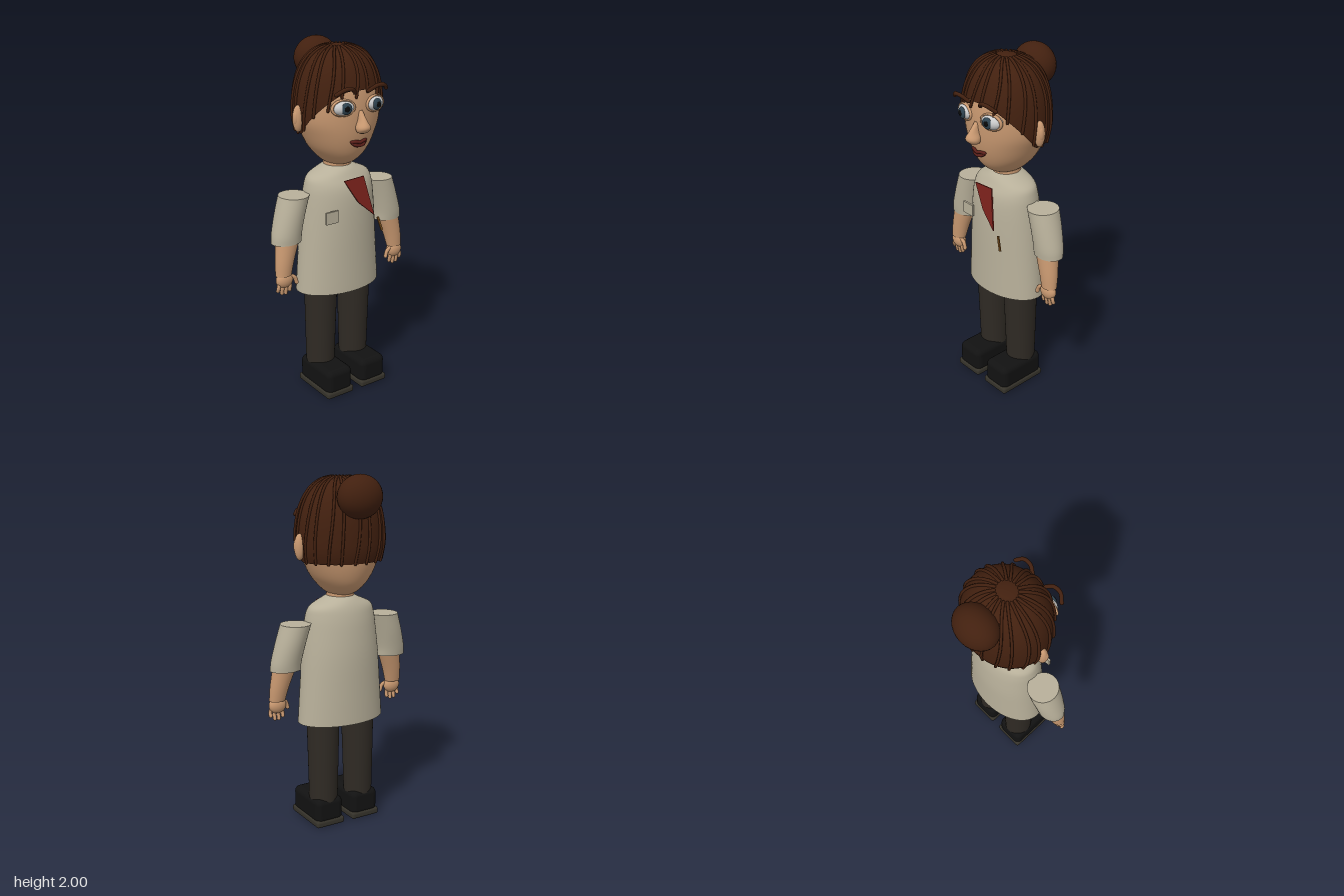
import * as THREE from 'three';
import { RoundedBoxGeometry } from 'three/addons/geometries/RoundedBoxGeometry.js';
import { ParametricGeometry } from 'three/addons/geometries/ParametricGeometry.js';

const mat = (color) => new THREE.MeshStandardMaterial({ color });
const SKIN = mat(0xc89870), HAIR = mat(0x42200f), SHIRT = mat(0xb8b09a), PANTS = mat(0x2f2a24);
const SHOE = mat(0x121212), SOLE = mat(0x35322a), RED = mat(0x7a211b), LIP = mat(0x5c201a);
const WHITE = mat(0xdcdcdc), IRIS = mat(0x2f4350), PUPIL = mat(0x080808), WOOD = mat(0x7a5020);
HAIR.side = THREE.DoubleSide;

function add(parent, name, geometry, material, x = 0, y = 0, z = 0) {
  const m = new THREE.Mesh(geometry, material);
  m.name = name;
  m.position.set(x, y, z);
  parent.add(m);
  return m;
}

function ball(parent, name, material, p, r) {
  const m = add(parent, name, new THREE.SphereGeometry(1, 28, 18), material, ...p);
  m.scale.set(...r);
  return m;
}

const vecs = (pts) => pts.map((p) => new THREE.Vector3(...p));
function tube(parent, name, material, pts, r, seg = 16) {
  const curve = new THREE.CatmullRomCurve3(vecs(pts));
  const m = add(parent, name, new THREE.TubeGeometry(curve, seg, r, 7), material);
  for (const e of [pts[0], pts[pts.length - 1]]) {
    add(parent, name + 'End', new THREE.SphereGeometry(r, 7, 5), material, ...e);
  }
  return m;
}

// Smooth closed skin through elliptical sections [x, y, z, rx, rz], listed bottom to top.
function loft(sections, n = 36, steps = 4) {
  const mid = new THREE.CatmullRomCurve3(vecs(sections.map((s) => s.slice(0, 3))), false, 'catmullrom');
  const rad = new THREE.CatmullRomCurve3(vecs(sections.map((s) => [s[3], s[4], 0])), false, 'catmullrom');
  const rows = (sections.length - 1) * steps, pos = [], idx = [];
  const ring = (t) => {
    const c = mid.getPoint(t), r = rad.getPoint(t);
    for (let j = 0; j < n; j++) {
      const a = (j / n) * Math.PI * 2;
      pos.push(c.x + r.x * Math.sin(a), c.y, c.z + r.y * Math.cos(a));
    }
    return c;
  };
  for (let i = 0; i <= rows; i++) ring(i / rows);
  for (let i = 0; i < rows; i++) for (let j = 0; j < n; j++) {
    const a = i * n + j, b = i * n + (j + 1) % n;
    idx.push(a, b, b + n, a, b + n, a + n);
  }
  for (const t of [0, 1]) {
    const start = pos.length / 3, c = ring(t);
    pos.push(c.x, c.y, c.z);
    for (let j = 0; j < n; j++) {
      const a = start + j, b = start + (j + 1) % n;
      idx.push(start + n, t ? a : b, t ? b : a);
    }
  }
  const g = new THREE.BufferGeometry();
  g.setAttribute('position', new THREE.Float32BufferAttribute(pos, 3));
  g.setIndex(idx);
  g.computeVertexNormals();
  return g;
}

// Hair shell: a domed crown ending at a hairline that drops from fringe to nape.
const TOP = 1.98;
const hairline = (a) => 1.53 + 0.24 * THREE.MathUtils.clamp((0.22 * Math.cos(a) - 0.01) / 0.2, 0, 1);
function hairPoint(a, y, grow = 0) {
  const s = Math.max(0, (y - 1.62) / 0.36);
  const r = y > 1.62 ? Math.pow(Math.max(0, 1 - Math.pow(s, 2.5)), 0.4) : 1 - 0.07 * ((1.62 - y) / 0.09) ** 2;
  return [(0.25 * r + grow) * Math.sin(a), y, 0.01 + (0.222 * r + grow) * Math.cos(a)];
}

function buildHair() {
  const hair = new THREE.Group();
  hair.name = 'hair';
  add(hair, 'hairCap', new ParametricGeometry((u, v, out) => {
    const a = u * Math.PI * 2;
    out.set(...hairPoint(a, TOP - (TOP - hairline(a)) * Math.pow(v, 2.2)));
  }, 72, 28), HAIR);
  ball(hair, 'crown', HAIR, [0, 1.968, 0.015], [0.058, 0.016, 0.058]);
  ball(hair, 'bun', HAIR, [0, 1.883, -0.19], [0.128, 0.117, 0.102]);
  const count = 20;
  for (let i = 0; i < count; i++) {
    const base = ((i + 0.5) / count) * Math.PI * 2, pts = [];
    const end = hairline(base) - (Math.cos(base) > 0.6 ? 0.012 + 0.02 * (i % 2) : 0);
    for (let k = 0; k <= 8; k++) {
      const t = k / 8;
      pts.push(hairPoint(base + 0.14 * Math.sin(t * 3) * (i % 2 ? 1 : 0.5), 1.976 - (1.976 - end) * Math.pow(t, 1.8), 0.003));
    }
    tube(hair, 'strand', HAIR, pts, 0.008, 24);
  }
  return hair;
}

function buildHead() {
  const head = new THREE.Group();
  head.name = 'head';
  add(head, 'skull', loft([
    [0, 1.337, 0.01, 0.05, 0.06], [0, 1.36, 0.01, 0.088, 0.11], [0, 1.4, 0.01, 0.128, 0.155],
    [0, 1.45, 0.01, 0.168, 0.182], [0, 1.52, 0.01, 0.203, 0.202], [0, 1.6, 0.01, 0.232, 0.211],
    [0, 1.7, 0.01, 0.235, 0.211], [0, 1.8, 0.01, 0.215, 0.193], [0, 1.9, 0.01, 0.155, 0.14],
    [0, 1.965, 0.01, 0.02, 0.02]], 48), SKIN);
  add(head, 'nose', loft([
    [0, 1.545, 0.235, 0.012, 0.012], [0, 1.556, 0.238, 0.034, 0.03], [0, 1.58, 0.243, 0.039, 0.042],
    [0, 1.615, 0.232, 0.022, 0.034], [0, 1.665, 0.213, 0.012, 0.012]], 20), SKIN);
  tube(head, 'upperLip', LIP, [[-0.046, 1.497, 0.204], [-0.02, 1.499, 0.216], [0, 1.494, 0.22],
    [0.02, 1.499, 0.216], [0.046, 1.497, 0.204]], 0.009);
  tube(head, 'lowerLip', LIP, [[-0.04, 1.49, 0.204], [-0.02, 1.478, 0.213], [0.02, 1.478, 0.213],
    [0.04, 1.49, 0.204]], 0.01);
  head.add(buildHair());
  return head;
}

// Eye, brow and ear on the +x side.
function buildFaceSide() {
  const side = new THREE.Group();
  side.name = 'faceSide';
  const eye = new THREE.Group();
  eye.name = 'eye';
  eye.position.set(0.1, 1.687, 0.197);
  eye.rotation.y = 0.2;
  ball(eye, 'eyeball', WHITE, [0, 0, 0], [0.062, 0.04, 0.042]);
  ball(eye, 'iris', IRIS, [-0.008, 0, 0.033], [0.031, 0.031, 0.014]);
  ball(eye, 'pupil', PUPIL, [-0.008, 0, 0.042], [0.016, 0.016, 0.009]);
  const lid = add(eye, 'eyelid', new THREE.TorusGeometry(0.062, 0.008, 8, 36), SKIN, 0, 0, 0.008);
  lid.scale.set(1, 0.66, 1.4);
  side.add(eye);
  tube(side, 'eyebrow', HAIR, [[0.045, 1.765, 0.23], [0.08, 1.79, 0.25], [0.125, 1.79, 0.25], [0.16, 1.765, 0.225]], 0.011);
  ball(side, 'ear', SKIN, [0.252, 1.615, 0.01], [0.03, 0.072, 0.028]);
  ball(side, 'earInner', SKIN, [0.268, 1.62, 0.015], [0.016, 0.04, 0.017]);
  return side;
}

// Sleeve, forearm and hand on the +x side.
function buildArm() {
  const arm = new THREE.Group();
  arm.name = 'arm';
  add(arm, 'sleeve', loft([
    [0.345, 0.947, 0.018, 0.088, 0.07], [0.34, 1.0, 0.016, 0.087, 0.076],
    [0.315, 1.1, 0.01, 0.085, 0.084], [0.285, 1.2, 0.006, 0.084, 0.088]]), SHIRT);
  add(arm, 'forearm', loft([
    [0.385, 0.77, 0.047, 0.046, 0.038], [0.372, 0.85, 0.04, 0.055, 0.047],
    [0.345, 0.96, 0.03, 0.068, 0.056]], 28), SKIN);
  ball(arm, 'palm', SKIN, [0.382, 0.742, 0.05], [0.052, 0.046, 0.032]);
  for (let i = 0; i < 4; i++) {
    const x = 0.35 + i * 0.022, tip = 0.35 + i * 0.025;
    const drop = [0.665, 0.652, 0.655, 0.675][i];
    tube(arm, 'finger', SKIN, [[x, 0.735, 0.052], [tip, 0.7, 0.056], [tip, drop + 0.01, 0.05]], 0.011, 8);
  }
  tube(arm, 'thumb', SKIN, [[0.36, 0.762, 0.055], [0.325, 0.748, 0.062], [0.312, 0.715, 0.064]], 0.012, 8);
  return arm;
}

// Trouser leg and shoe on the +x side.
function buildLeg() {
  const leg = new THREE.Group();
  leg.name = 'leg';
  add(leg, 'trouserLeg', loft([
    [0.117, 0.13, 0.005, 0.081, 0.085], [0.116, 0.4, 0.007, 0.086, 0.094], [0.114, 0.7, 0.01, 0.092, 0.105]]), PANTS);
  add(leg, 'shoe', new RoundedBoxGeometry(0.172, 0.15, 0.298, 4, 0.035), SHOE, 0.118, 0.092, 0.066);
  add(leg, 'sole', new RoundedBoxGeometry(0.182, 0.042, 0.308, 3, 0.015), SOLE, 0.118, 0.021, 0.066);
  return leg;
}

function buildTorso() {
  const torso = new THREE.Group();
  torso.name = 'torso';
  add(torso, 'tunic', loft([
    [0, 0.62, 0.01, 0.262, 0.164], [0, 0.8, 0.01, 0.248, 0.164], [0, 1.0, 0.011, 0.232, 0.164],
    [0, 1.15, 0.015, 0.217, 0.156], [0, 1.23, 0.015, 0.206, 0.143], [0, 1.28, 0.01, 0.185, 0.122],
    [0, 1.315, 0.01, 0.115, 0.1], [0, 1.335, 0.01, 0.075, 0.075]], 48), SHIRT);
  add(torso, 'neck', new THREE.CylinderGeometry(0.075, 0.08, 0.1, 32), SKIN, 0, 1.33, 0.01);
  const shape = new THREE.Shape([[-0.07, 0.22], [0.01, 0.09], [0.11, 0], [0.06, 0.227]].map((p) => new THREE.Vector2(...p)));
  const scarf = add(torso, 'scarf', new THREE.ExtrudeGeometry(shape, { depth: 0.008, bevelEnabled: false }), RED, 0, 1.06, 0.2);
  scarf.rotation.x = -0.15;
  add(torso, 'pocketBadge', new THREE.BoxGeometry(0.078, 0.068, 0.012), SHIRT, -0.145, 1.085, 0.165);
  const pencil = add(torso, 'pencil', new THREE.BoxGeometry(0.012, 0.085, 0.008), WOOD, 0.153, 0.999, 0.203);
  pencil.rotation.set(-0.1, 0, 0.3);
  return torso;
}

export function createModel() {
  const model = new THREE.Group();
  model.name = 'figure';
  model.add(buildTorso(), buildHead());
  // Paired parts, mirrored across x.
  for (const s of [1, -1]) {
    const half = new THREE.Group();
    half.name = s > 0 ? 'leftSide' : 'rightSide';
    half.scale.x = s;
    half.add(buildFaceSide(), buildArm(), buildLeg());
    model.add(half);
  }
  return model;
}
